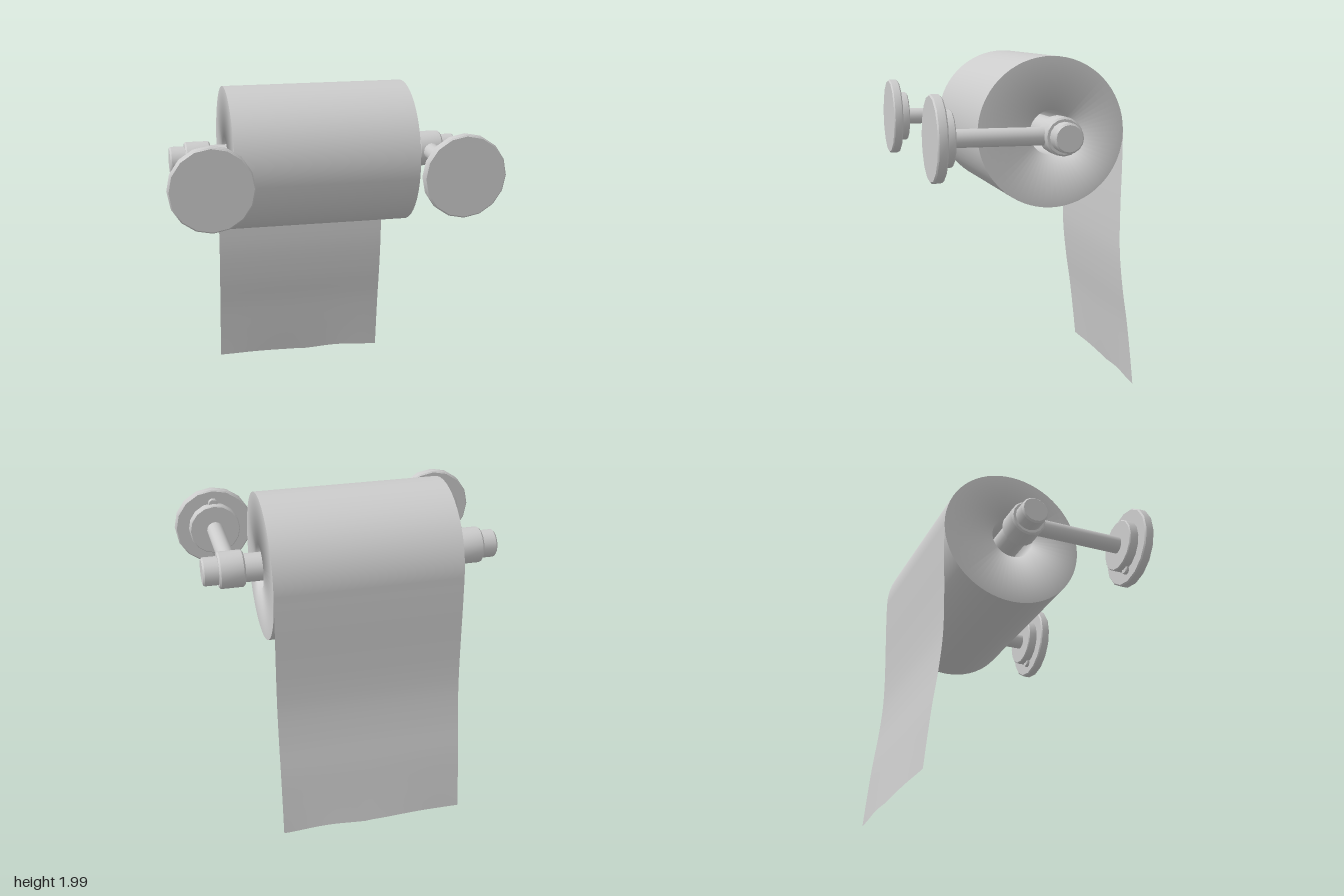
import * as THREE from 'three';
import { toCreasedNormals } from 'three/addons/utils/BufferGeometryUtils.js';

const AXIS_Y = 1.56, AXIS_Z = -0.105, POST_X = 0.73;
const grey = new THREE.MeshStandardMaterial({ color: 0xcccccc });
const paper = new THREE.MeshStandardMaterial({ color: 0xcccccc, side: THREE.DoubleSide });

function named(name, geometry, material = grey) {
  const mesh = new THREE.Mesh(geometry, material);
  mesh.name = name;
  return mesh;
}

// Solid cylinder from a to b along local y, with small bevelled rims
function bevelled(radius, a, b, bevel, sides = 16) {
  const profile = [
    [0, a], [radius - bevel, a], [radius, a + bevel],
    [radius, b - bevel], [radius - bevel, b], [0, b],
  ].map(([r, y]) => new THREE.Vector2(r, y));
  return toCreasedNormals(new THREE.LatheGeometry(profile, sides), 0.5);
}
const alongX = (g) => g.rotateZ(-Math.PI / 2).translate(0, AXIS_Y, AXIS_Z);
const alongZ = (g) => g.rotateX(Math.PI / 2).translate(0, AXIS_Y, 0);

// Paper roll: hollow, softly shaded into the hole, crisp at the outer rim
function makeRoll() {
  const R = 0.437, r = 0.13, x0 = -0.56, x1 = 0.557;
  const profile = [
    [r, 0], [r, x0], [R, x0], [R, x0], [R, x1], [R, x1], [r, x1], [r, 0],
  ].map(([a, b]) => new THREE.Vector2(a, b));
  return named('paperRoll', alongX(new THREE.LatheGeometry(profile, 64)));
}

// Loose sheet hanging from the back of the roll, with a wavy torn edge
function makeSheet() {
  const drop = new THREE.CatmullRomCurve3([
    [1.56, -0.543], [1.35, -0.541], [1.15, -0.536], [0.95, -0.534], [0.8, -0.539],
    [0.6, -0.56], [0.4, -0.59], [0.2, -0.615], [0.01, -0.638],
  ].map(([y, z]) => new THREE.Vector3(0, y, z)));
  const geometry = new THREE.PlaneGeometry(1.117, 1, 24, 40);
  const pos = geometry.attributes.position;
  for (let i = 0; i < pos.count; i++) {
    const x = pos.getX(i), t = 0.5 - pos.getY(i);
    const p = drop.getPoint(t);
    const wave = Math.pow(t, 8);
    const edge = 0.004 - 0.007 * x + 0.007 * Math.cos((x - 0.28) * 11) * (x > 0 ? 1 : 0.35);
    pos.setXYZ(i, x - 0.0015, p.y + wave * edge, p.z - wave * 0.004 * Math.cos(x * 6));
  }
  geometry.computeVertexNormals();
  return named('hangingSheet', geometry, paper);
}

// Wall post: collar around the rod, arm, stepped wall flange and two screws
function makePost(side) {
  const post = new THREE.Group();
  post.name = side > 0 ? 'leftPost' : 'rightPost';
  post.position.x = side * POST_X;
  post.add(
    named('collar', alongX(bevelled(0.11, -0.077, 0.077, 0.01))),
    named('arm', alongZ(bevelled(0.052, AXIS_Z, 0.54, 0.004))),
    named('flangeStep', alongZ(bevelled(0.16, 0.522, 0.585, 0.006))),
    named('wallPlate', alongZ(bevelled(0.245, 0.58, 0.64, 0.008))),
  );
  for (const s of [-1, 1]) {
    const screw = named('screw', alongZ(bevelled(0.03, 0.56, 0.59, 0.005, 12)));
    screw.position.y = s * 0.16;
    post.add(screw);
  }
  return post;
}

export function createModel() {
  const model = new THREE.Group();
  model.name = 'toiletPaperHolder';
  model.add(makeRoll(), makeSheet());
  model.add(named('rod', alongX(bevelled(0.085, -0.9, 0.9, 0.01))));
  for (const side of [-1, 1]) model.add(makePost(side));
  return model;
}
